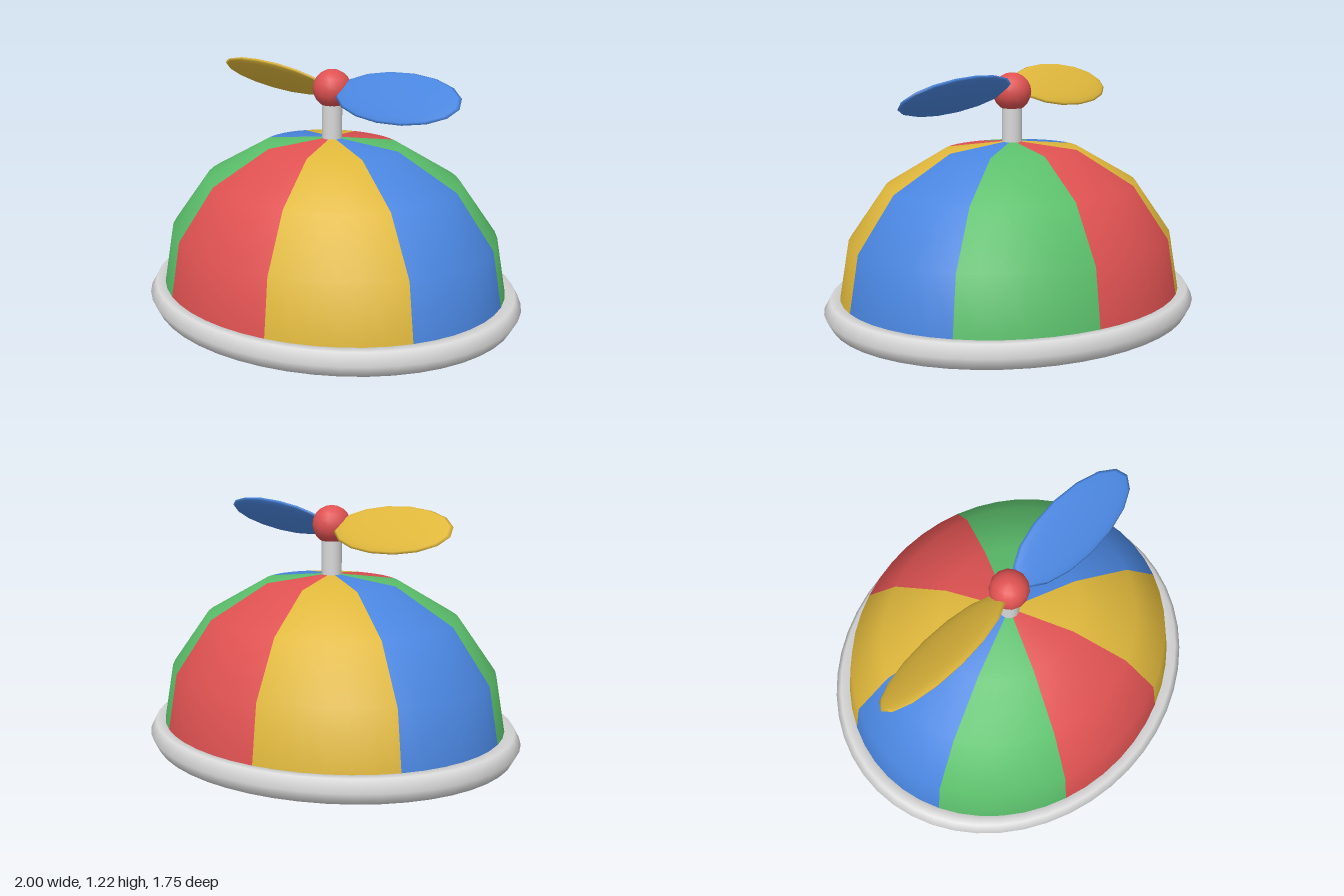
import * as THREE from 'three';

const paint = (name, color) => {
  const m = new THREE.MeshStandardMaterial({ color });
  m.name = name;
  return m;
};

export function createModel() {
  const red = paint('red', 0xe05252);
  const yellow = paint('yellow', 0xe0b83c);
  const blue = paint('blue', 0x4a86e0);
  const green = paint('green', 0x5cc06c);
  const grey = paint('light grey', 0xd8d8d8);

  const model = new THREE.Group();
  model.name = 'propellerCap';
  const add = (parent, name, geometry, material) => {
    const mesh = new THREE.Mesh(geometry, material);
    mesh.name = name;
    parent.add(mesh);
    return mesh;
  };
  const profile = (points) => points.map(([x, y]) => new THREE.Vector2(x, y));

  // Oval dome of eight wedges, each with a matching underside
  const dome = new THREE.Group();
  dome.name = 'dome';
  dome.scale.z = 0.885;
  model.add(dome);
  const shell = profile([[0.907, 0], [0.915, 0.11], [0.863, 0.4], [0.67, 0.66], [0.36, 0.83], [0, 0.87]]);
  const base = profile([[0, 0], [0.907, 0]]);
  const wedgeColors = [red, yellow, blue, green];
  const step = Math.PI / 4;
  for (let i = 0; i < 8; i++) {
    const start = (i - 0.5) * step;
    const material = wedgeColors[i % 4];
    add(dome, 'domePanel', new THREE.LatheGeometry(shell, 6, start, step), material);
    add(dome, 'undersidePanel', new THREE.LatheGeometry(base, 6, start, step), material);
  }

  // Oval rim
  const rimGeometry = new THREE.TorusGeometry(0.934, 0.066, 6, 48);
  rimGeometry.rotateX(Math.PI / 2);
  const rim = add(model, 'rim', rimGeometry, grey);
  rim.position.y = 0.068;
  rim.scale.z = 0.877;

  // Post and hub
  const post = add(model, 'post', new THREE.CylinderGeometry(0.05, 0.05, 0.22, 16), grey);
  post.position.y = 0.95;
  const hub = add(model, 'hub', new THREE.SphereGeometry(0.095, 14, 10), red);
  hub.position.y = 1.11;

  // Blades pitched in opposite directions
  for (const [name, side, material] of [['leftBlade', 1, blue], ['rightBlade', -1, yellow]]) {
    const blade = add(model, name, new THREE.SphereGeometry(1, 16, 10), material);
    blade.scale.set(0.38, 0.025, 0.16);
    blade.position.set(side * 0.425, 1.12, 0);
    blade.rotation.x = side * 0.66;
  }
  return model;
}
